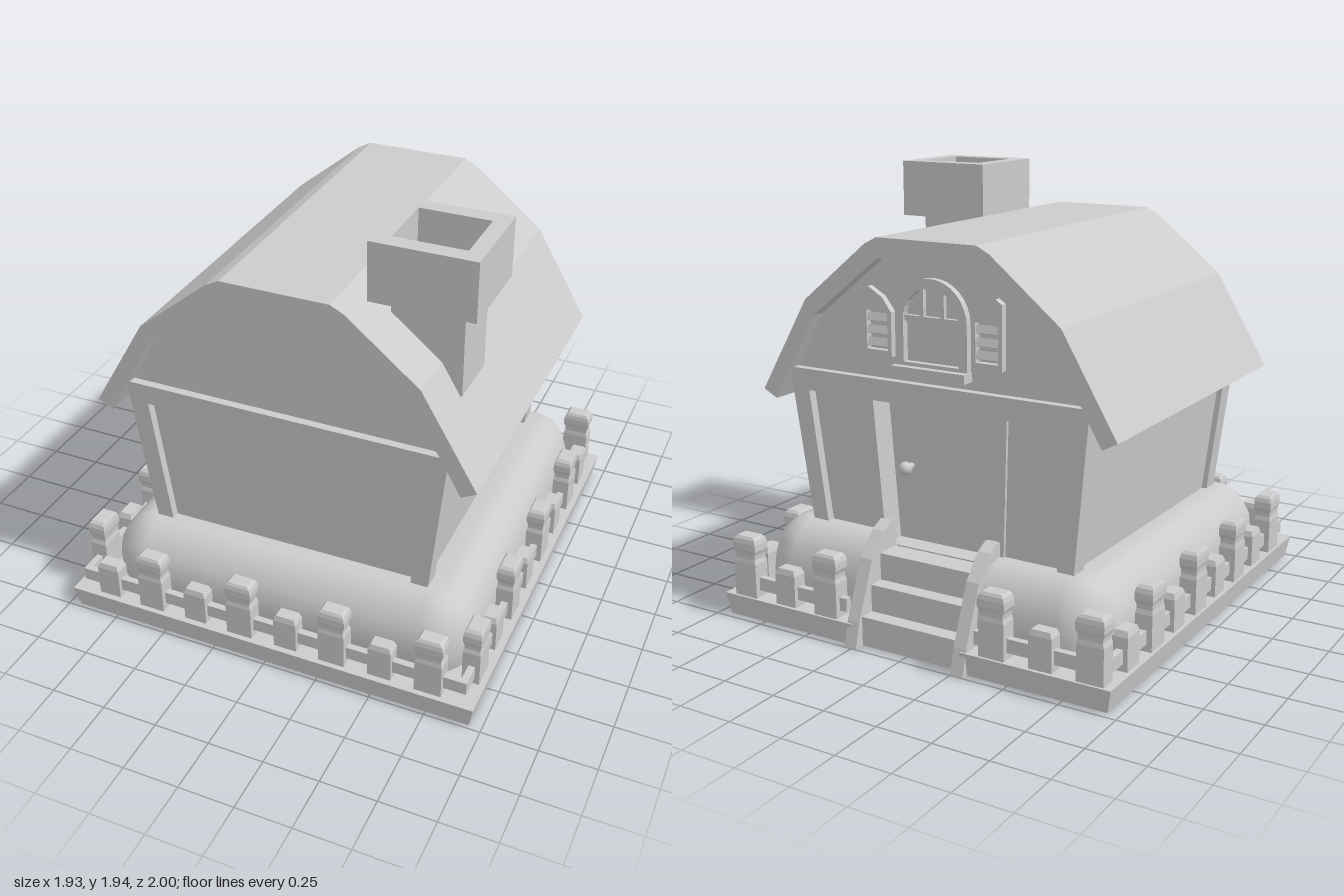
import * as THREE from 'three';

const flat = new THREE.MeshStandardMaterial({ color: 0xcccccc, flatShading: true });
const smooth = new THREE.MeshStandardMaterial({ color: 0xcccccc, side: THREE.DoubleSide });

function add(parent, name, geo, mat = flat) {
  const m = new THREE.Mesh(geo, mat);
  m.name = name;
  parent.add(m);
  return m;
}

// Move every vertex by a rule
function bend(geo, rule) {
  const p = geo.attributes.position;
  const v = new THREE.Vector3();
  for (let i = 0; i < p.count; i++) {
    rule(v.fromBufferAttribute(p, i));
    p.setXYZ(i, v.x, v.y, v.z);
  }
  geo.computeVertexNormals();
  return geo;
}

// Box given by its limits on each axis
function box(x0, x1, y0, y1, z0, z1) {
  return new THREE.BoxGeometry(x1 - x0, y1 - y0, z1 - z0)
    .translate((x0 + x1) / 2, (y0 + y1) / 2, (z0 + z1) / 2);
}

const shapeOf = pts => new THREE.Shape(pts.map(p => new THREE.Vector2(...p)));
const rectPath = (x0, x1, y0, y1) => [[x0, y0], [x1, y0], [x1, y1], [x0, y1]];
const extrude = (shape, depth) =>
  new THREE.ExtrudeGeometry(shape, { depth, bevelEnabled: false, curveSegments: 8 });

// Walls lean outwards towards the eaves
const lean = v => {
  v.x *= 1 - (1.1 - v.y) * 0.155;
  v.z *= 1 - (1.1 - v.y) * 0.06;
};

// Hollow base frame, open at the stairs
function buildBase(root) {
  const s = shapeOf([[0.26, -0.98], [0.963, -0.98], [0.963, 0.997], [-0.967, 0.997], [-0.967, -0.98], [-0.28, -0.98],
    [-0.28, -0.87], [-0.71, -0.87], [-0.85, -0.73], [-0.85, 0.74], [-0.71, 0.88], [0.71, 0.88],
    [0.85, 0.74], [0.85, -0.73], [0.71, -0.87], [0.26, -0.87]]);
  const geo = extrude(s, 0.1).rotateX(Math.PI / 2).translate(0, 0.108, 0);
  add(root, 'baseFrame', bend(geo, v => {
    if (v.y < 0.05) { if (Math.abs(v.x) > 0.9) v.x *= 0.98; if (Math.abs(v.z) > 0.9) v.z *= 0.985; }
  }));
}

// Soft mound around the house, swept as rings open at the stairs
function buildMound(root) {
  const rings = [[0.09, 0.02], [0.14, 0.005], [0.2, 0], [0.27, 0.008], [0.33, 0.03],
    [0.38, 0.065], [0.415, 0.11], [0.43, 0.16], [0.425, 0.24]];
  const corners = [[1, -1, -90], [1, 1, 0], [-1, 1, 90], [-1, -1, 180]];
  const pos = [], idx = [], steps = 6;
  for (const [y, d] of rings) {
    const r = Math.max(0.2 - d, 0.04), hx = 0.86 - d, hz = 0.885 - d;
    const loop = [[0.24, -hz]];
    for (const [sx, sz, a0] of corners)
      for (let k = 0; k <= steps; k++) {
        const a = (a0 + 90 * k / steps) * Math.PI / 180;
        loop.push([sx * (hx - r) + r * Math.cos(a), sz * (hz - r) + r * Math.sin(a)]);
      }
    loop.push([-0.27, -hz]);
    for (const [x, z] of loop) pos.push(x, y + (y > 0.3 ? 0.01 * x - 0.008 * z : 0), z);
  }
  const n = pos.length / 3 / rings.length;
  for (let j = 0; j < rings.length - 1; j++)
    for (let i = 0; i < n - 1; i++) {
      const a = j * n + i, b = a + 1, c = a + n, e = c + 1;
      idx.push(a, c, b, b, c, e);
    }
  const geo = new THREE.BufferGeometry();
  geo.setAttribute('position', new THREE.Float32BufferAttribute(pos, 3));
  geo.setIndex(idx);
  geo.computeVertexNormals();
  add(root, 'mound', geo, smooth);
}

// Fence of alternating tall and short pickets with a rail
function buildFence(root) {
  const fence = new THREE.Group();
  fence.name = 'fence';
  root.add(fence);
  const tall = [[0, 0.09], [1, 0.09], [1, 0.265], [0.9, 0.285], [0.92, 0.305], [1.05, 0.325],
    [1.05, 0.355], [0.95, 0.375], [0.75, 0.387], [0, 0.387]];
  const short = [[0, 0.09], [0.88, 0.09], [0.88, 0.25], [0.7, 0.275], [0, 0.275]];
  const picket = (x, z, isTall, alongX) => {
    const pts = (isTall ? tall : short).map(([r, y]) => new THREE.Vector2(r * Math.SQRT2, y));
    const geo = new THREE.LatheGeometry(pts, 4).rotateY(Math.PI / 4)
      .scale(alongX ? 0.06 : 0.039, 1, alongX ? 0.039 : 0.06).translate(x, 0, z);
    add(fence, isTall ? 'tallPicket' : 'shortPicket', geo);
  };
  for (let i = 0; i < 8; i++) {
    picket(-0.787 + i * 0.22, 0.935, i % 2 === 1, true);
    for (const x of [-0.915, 0.897]) picket(x, -0.75 + i * 0.219, i % 2 === 1, false);
  }
  for (let i = 0; i < 3; i++)
    for (const x of [-0.87 + i * 0.222, 0.85 - i * 0.222]) picket(x, -0.93, i !== 1, true);
  const rails = [[-0.925, 0.915, 0.92, 0.95], [-0.925, -0.33, -0.945, -0.915], [0.31, 0.915, -0.945, -0.915],
    [-0.93, -0.9, -0.93, 0.95], [0.885, 0.915, -0.93, 0.95]];
  for (const [x0, x1, z0, z1] of rails) add(fence, 'fenceRail', box(x0, x1, 0.14, 0.2, z0, z1));
}

// Three steps between two sloping side boards
function buildStairs(root) {
  for (let i = 0; i < 3; i++)
    add(root, 'step', box(-0.26, 0.23, 0.01 + i * 0.12, 0.14 + i * 0.12, -0.95 + i * 0.07, -0.7));
  const side = shapeOf([[-1, 0.01], [-0.92, 0.01], [-0.88, 0.1], [-0.69, 0.24], [-0.69, 0.49], [-0.72, 0.5],
    [-0.78, 0.47], [-0.87, 0.37], [-0.97, 0.12]]);
  for (const x of [-0.25, 0.285])
    add(root, 'stairSide', extrude(side, 0.06).rotateY(-Math.PI / 2).translate(x, 0, 0));
}

// Hollow house body with a deep porch for the door
function buildWalls(house) {
  const leaning = (name, ...b) => add(house, name, bend(box(...b), lean));
  leaning('frontWall', -0.7, 0.7, 0.15, 1.1, 0.68, 0.705);
  leaning('backWallBelowDoor', -0.33, 0.33, 0.15, 0.38, -0.705, -0.68);
  for (const s of [-1, 1]) {
    const side = (name, x0, x1, ...b) => leaning(name, Math.min(s * x0, s * x1), Math.max(s * x0, s * x1), ...b);
    side('sideWall', 0.68, 0.705, 0.15, 1.1, -0.705, 0.705);
    side('backWall', 0.33, 0.7, 0.15, 1.1, -0.705, -0.68);
    side('doorJamb', 0.32, 0.35, 0.36, 1.05, -0.72, -0.58);
    for (const z of [-0.7, 0.7]) side('cornerPost', 0.645, 0.732, 0.06, 1.1, z - 0.045, z + 0.045);
    side('gableBeam', 0, 0.732, 1.035, 1.13, 0.67, 0.745);
    side('gableBeam', 0, 0.732, 1.035, 1.13, -0.745, -0.67);
  }

  // Recessed door with knob
  leaning('porchCeiling', -0.33, 0.33, 1.035, 1.06, -0.69, -0.58);
  leaning('porchFloor', -0.33, 0.33, 0.355, 0.38, -0.7, -0.58);
  leaning('door', -0.33, 0.33, 0.36, 1.05, -0.605, -0.58);
  add(house, 'doorKnob', new THREE.SphereGeometry(0.03, 12, 8).translate(0.21, 0.72, -0.64), smooth);
  add(house, 'knobStem', new THREE.CylinderGeometry(0.015, 0.015, 0.05, 8)
    .rotateX(Math.PI / 2).translate(0.21, 0.72, -0.61));
}

// Gable walls and curved-back roof
function buildRoof(house) {
  const gable = shapeOf([[-0.76, 1.1], [0.76, 1.1], [0.6, 1.39], [0.23, 1.66], [-0.23, 1.66], [-0.6, 1.39]]);
  for (const z of [-0.71, 0.68]) add(house, 'gableWall', extrude(gable, 0.03).translate(0, 0, z));
  const outer = [[0.868, 1.02], [0.62, 1.44], [0.3, 1.7], [0.24, 1.73]];
  const inner = [[0.237, 1.645], [0.577, 1.375], [0.8, 0.985]];
  const flip = a => a.map(([x, y]) => [-x, y]).reverse();
  const roof = shapeOf([...outer, ...flip(outer), ...flip(inner), ...inner]);
  add(house, 'roof', extrude(roof, 1.542).translate(0, 0, -0.769));
}

// Arched window with glazing bars, sill and open shutters
function buildWindow(house) {
  const arch = (path, w, y0) => {
    path.moveTo(-w, y0);
    path.lineTo(w, y0);
    path.lineTo(w, 1.4);
    path.absarc(0, 1.4, w, 0, Math.PI, false);
    path.lineTo(-w, y0);
    return path;
  };
  const frame = arch(new THREE.Shape(), 0.175, 1.19);
  frame.holes.push(arch(new THREE.Path(), 0.135, 1.22));
  add(house, 'windowFrame', extrude(frame, 0.035).translate(0, 0, -0.74));
  add(house, 'windowBar', box(-0.145, 0.145, 1.39, 1.415, -0.73, -0.7));
  for (const x of [-0.05, 0.05]) add(house, 'windowBar', box(x - 0.01, x + 0.01, 1.4, 1.53, -0.73, -0.7));
  add(house, 'windowSill', box(-0.18, 0.18, 1.165, 1.205, -0.772, -0.7));
  for (const s of [-1, 1]) {
    const pts = [[0.195, 1.23], [0.34, 1.23], [0.34, 1.5], [0.31, 1.52], [0.24, 1.48], [0.195, 1.42]];
    const sh = shapeOf(pts.map(([x, y]) => [s * x, y]));
    sh.holes.push(new THREE.Path(rectPath(...(s > 0 ? [0.215, 0.32] : [-0.32, -0.215]), 1.255, 1.42)
      .map(p => new THREE.Vector2(...p))));
    add(house, 'shutter', extrude(sh, 0.03).translate(0, 0, -0.74));
    for (let i = 0; i < 3; i++) {
      const slat = add(house, 'shutterSlat', new THREE.BoxGeometry(0.115, 0.035, 0.015));
      slat.position.set(s * 0.267, 1.285 + i * 0.053, -0.725);
      slat.rotation.x = 0.35;
    }
  }
}

// Chimney with a hollow cap
function buildChimney(root) {
  add(root, 'chimneyStack', box(0.388, 0.698, 1.3, 1.71, 0.26, 0.53));
  const cap = shapeOf(rectPath(0.318, 0.768, 0.18, 0.61));
  cap.holes.push(new THREE.Path(rectPath(0.388, 0.698, 0.255, 0.535).map(p => new THREE.Vector2(...p))));
  add(root, 'chimneyCap', extrude(cap, 0.26).rotateX(Math.PI / 2).translate(0, 1.95, 0));
}

export function createModel() {
  const root = new THREE.Group();
  root.name = 'cottage';
  buildBase(root);
  buildMound(root);
  buildFence(root);
  buildStairs(root);
  const house = new THREE.Group();
  house.name = 'house';
  house.position.set(-0.013, 0, -0.013);
  root.add(house);
  buildWalls(house);
  buildRoof(house);
  buildWindow(house);
  buildChimney(root);
  return root;
}
